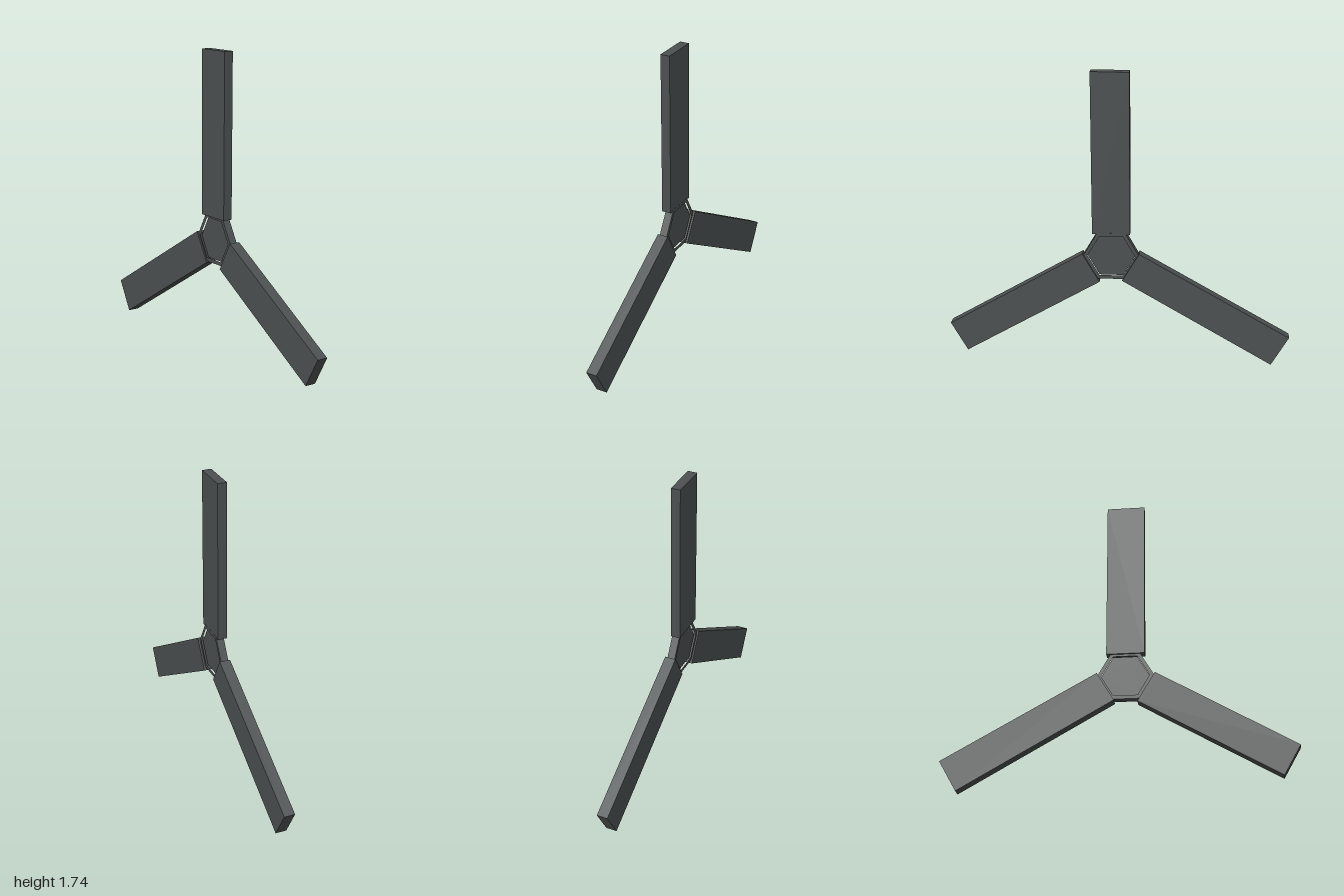
import * as THREE from 'three';

const HUB_Y = 0.652, HUB_Z = 0.042;

// Extrude an outline of [z, y] points along x, from x0 to x1
function slab(name, points, x0, x1, material, hole) {
  const toVec = ([z, y]) => new THREE.Vector2(-z, y);
  const shape = new THREE.Shape(points.map(toVec));
  if (hole) shape.holes.push(new THREE.Path(hole.map(toVec)));
  const geometry = new THREE.ExtrudeGeometry(shape, { depth: x1 - x0, bevelEnabled: false });
  geometry.rotateY(Math.PI / 2).translate(x0, 0, 0);
  const mesh = new THREE.Mesh(geometry, material);
  mesh.name = name;
  return mesh;
}

// Hexagon with flat top and bottom, around the hub axis
function hexagon(radius) {
  return Array.from({ length: 6 }, (_, i) => {
    const a = (i * Math.PI) / 3;
    return [HUB_Z + radius * Math.cos(a), HUB_Y + radius * Math.sin(a)];
  });
}

export function createModel() {
  const group = new THREE.Group();
  group.name = 'threeBladeRotor';
  const darkGrey = new THREE.MeshStandardMaterial({ color: 0x4c5050 });
  darkGrey.name = 'darkGrey';

  // Hub: hexagonal rim with a slightly sunken plate on both sides
  group.add(slab('hubRim', hexagon(0.163), -0.025, 0.02, darkGrey, hexagon(0.138)));
  group.add(slab('hubPlate', hexagon(0.138), -0.015, 0.01, darkGrey));

  // Blades, each slightly out of true
  group.add(slab('topBlade',
    [[0.16, 1.74], [-0.06, 1.74], [-0.066, 0.785], [0.153, 0.785]], -0.036, 0.019, darkGrey));
  group.add(slab('frontBlade',
    [[1.0, 0.198], [0.903, 0.027], [0.11, 0.493], [0.21, 0.664]], -0.033, 0.031, darkGrey));
  group.add(slab('backBlade',
    [[-1.0, 0.176], [-0.9, 0], [-0.022, 0.504], [-0.12, 0.672]], -0.033, 0.031, darkGrey));
  return group;
}
